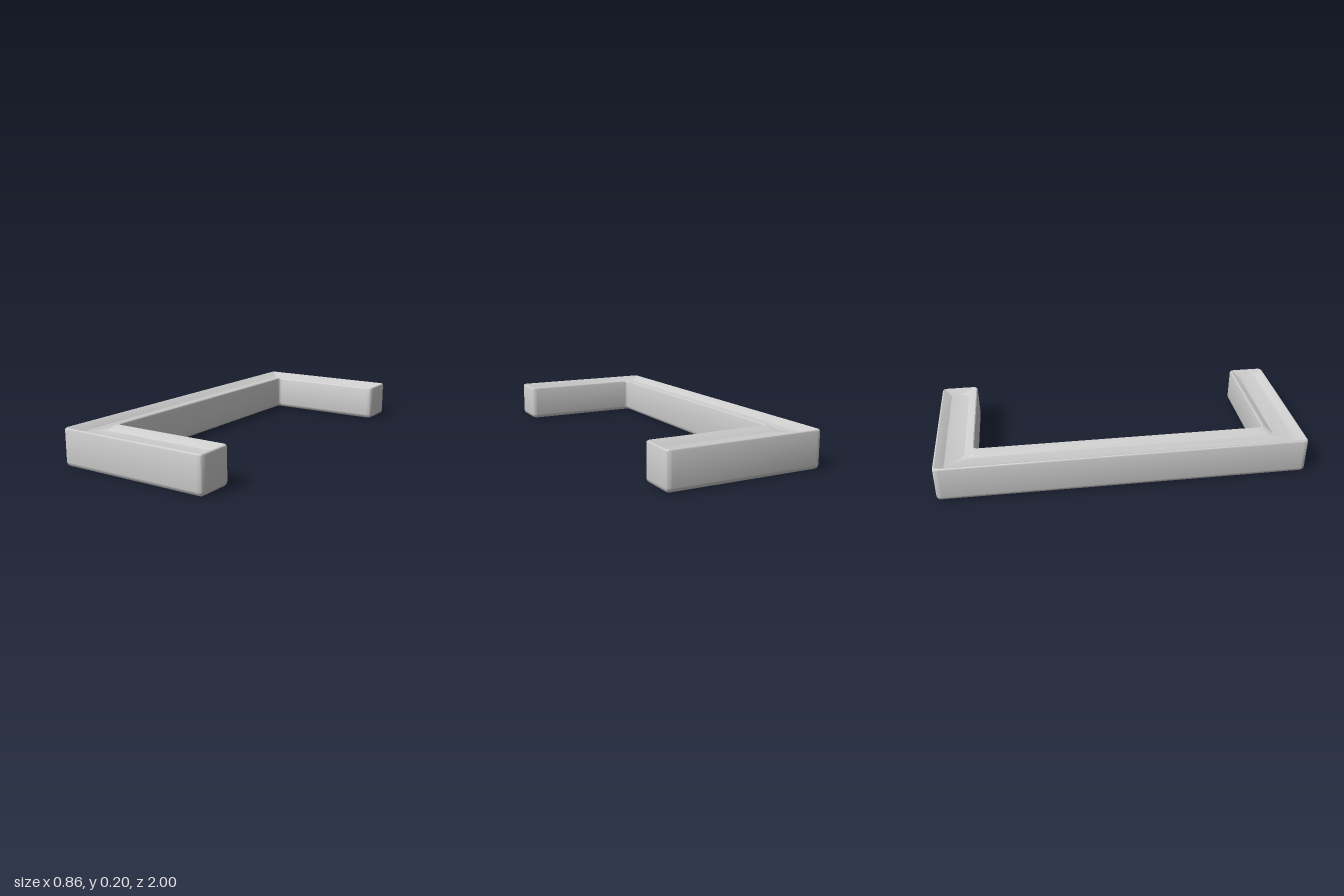
import * as THREE from 'three';
import { toCreasedNormals } from 'three/addons/utils/BufferGeometryUtils.js';

// Plan outline of the bracket as [x, z] corners
const OUTLINE = [[-0.43, -1], [0.43, -1], [0.43, -0.79], [-0.25, -0.79],
  [-0.25, 0.79], [0.43, 0.79], [0.43, 1], [-0.43, 1]].map(([x, z]) => new THREE.Vector2(x, z));
const CORNER_RADIUS = 0.03;
const CORNER_STEPS = 5;

// Outline moved inward by a distance, with every corner rounded
function outlineRing(inset) {
  const points = [];
  const count = OUTLINE.length;
  OUTLINE.forEach((corner, i) => {
    const d0 = corner.clone().sub(OUTLINE[(i + count - 1) % count]).normalize();
    const d1 = OUTLINE[(i + 1) % count].clone().sub(corner).normalize();
    const p = corner.clone().add(new THREE.Vector2(-d0.y - d1.y, d0.x + d1.x).multiplyScalar(inset));
    const convex = d0.cross(d1) > 0;
    const r = Math.max(0.004, convex ? CORNER_RADIUS - inset : CORNER_RADIUS * 0.7 + inset * 0.3);
    for (let k = 0; k <= CORNER_STEPS; k++) {
      const t = k / CORNER_STEPS;
      points.push(p.clone().addScaledVector(d0, -r * (1 - t) ** 2).addScaledVector(d1, r * t * t));
    }
  });
  return points;
}

// Section as [inset, height]: rounded underside, straight wall, thin rim, sloped recess
function sectionProfile() {
  const profile = [];
  const r = 0.025;
  for (let k = 0; k <= 5; k++) {
    const a = (k / 5) * Math.PI / 2;
    profile.push([r * (1 - Math.sin(a)), r * (1 - Math.cos(a))]);
  }
  profile.push([0, 0.19], [0.003, 0.197], [0.008, 0.2], [0.013, 0.199], [0.054, 0.172]);
  return profile;
}

function bracketGeometry() {
  const profile = sectionProfile();
  const rings = profile.map(([inset]) => outlineRing(inset));
  const n = rings[0].length;
  const positions = [];
  const index = [];
  rings.forEach((ring, j) => ring.forEach((p) => positions.push(p.x, profile[j][1], p.y)));

  // Walls between neighbouring rings
  for (let j = 0; j < rings.length - 1; j++) {
    for (let i = 0; i < n; i++) {
      const a = j * n + i;
      const b = j * n + (i + 1) % n;
      index.push(a, a + n, b, b, a + n, b + n);
    }
  }
  // Underside and recess floor
  const top = (rings.length - 1) * n;
  for (const [a, b, c] of THREE.ShapeUtils.triangulateShape(rings[0], [])) index.push(a, b, c);
  for (const [a, b, c] of THREE.ShapeUtils.triangulateShape(rings[rings.length - 1], [])) {
    index.push(top + a, top + c, top + b);
  }

  const geometry = new THREE.BufferGeometry();
  geometry.setAttribute('position', new THREE.Float32BufferAttribute(positions, 3));
  geometry.setIndex(index);
  return toCreasedNormals(geometry, 0.55);
}

export function createModel() {
  const model = new THREE.Group();
  model.name = 'bracket';
  const body = new THREE.Mesh(bracketGeometry(), new THREE.MeshStandardMaterial({ color: 0xcccccc }));
  body.name = 'recessedHandleBody';
  model.add(body);
  return model;
}
